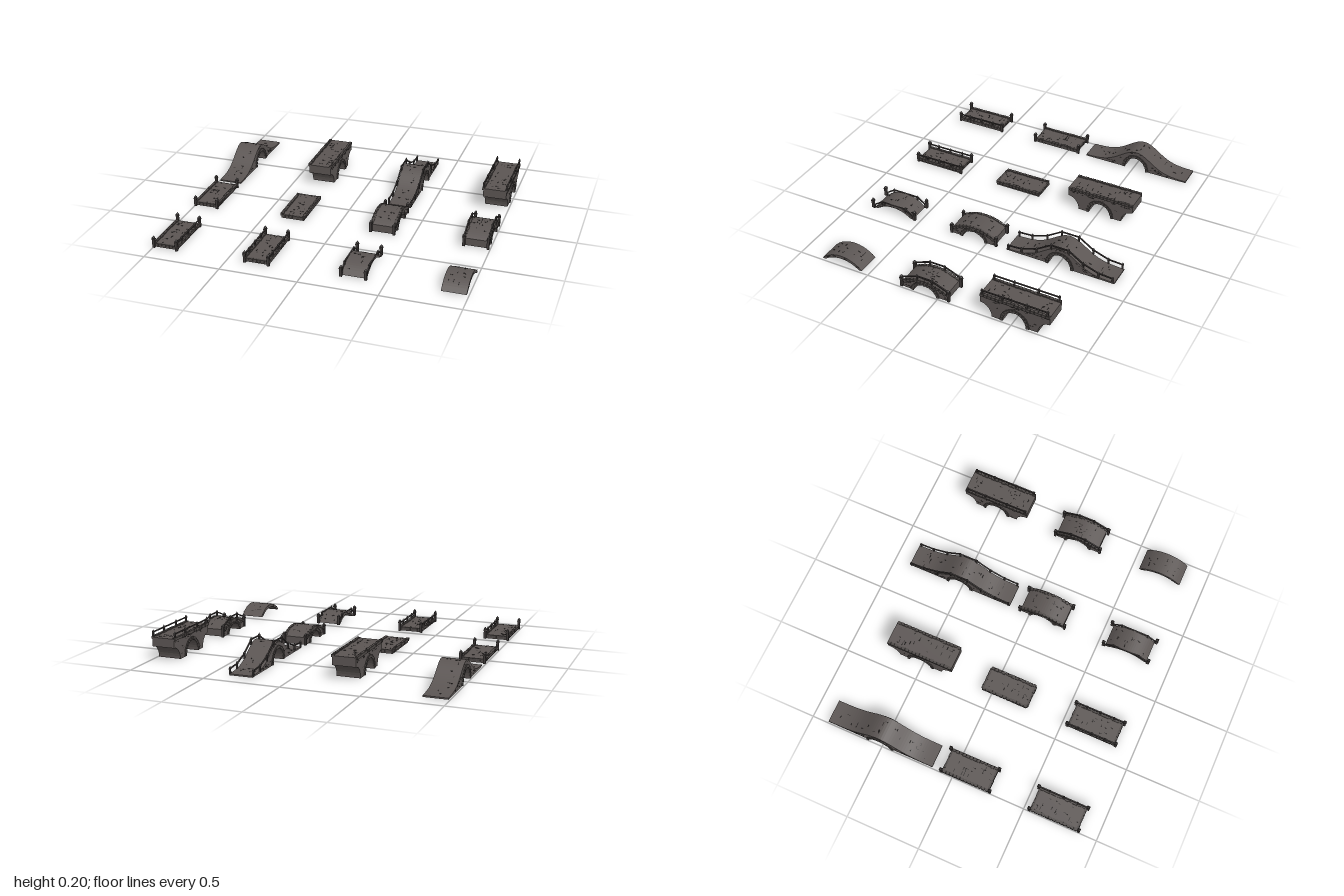
import * as THREE from 'three';

const mat = (name, color) => Object.assign(new THREE.MeshStandardMaterial({ color }), { name });

export function createModel() {
  const stone = mat('stone', 0x5b5553);
  const trim = mat('trim stone', 0x4d4846);
  const railMat = mat('rail stone', 0x403b3a);
  const joint = mat('dark joint', 0x292625);
  const model = new THREE.Group();
  model.name = 'bridgeSet';

  let seed = 7;
  const rnd = (a, b) => {
    seed = (seed * 16807) % 2147483647;
    return a + (b - a) * seed / 2147483647;
  };

  const add = (g, name, geo, material, x = 0, y = 0, z = 0, tilt = 0) => {
    const m = new THREE.Mesh(geo, material);
    m.name = name;
    m.position.set(x, y, z);
    m.rotation.x = tilt;
    g.add(m);
    return m;
  };
  const box = (g, name, material, w, h, d, x, y, z, tilt) =>
    add(g, name, new THREE.BoxGeometry(w, h, d), material, x, y, z, tilt);

  // Side profile (z, y) pulled across the width
  const HALF = 0.077;
  const body = (g, pts) => {
    const shape = new THREE.Shape(pts.map(p => new THREE.Vector2(p[0], p[1])));
    const geo = new THREE.ExtrudeGeometry(shape, { depth: HALF * 2, bevelEnabled: false });
    geo.rotateY(-Math.PI / 2).translate(HALF, 0, 0);
    add(g, 'bridgeBody', geo, stone);
  };
  const sample = (a, b, n, f) =>
    Array.from({ length: n + 1 }, (_, i) => { const s = a + (b - a) * i / n; return [s, f(s)]; });
  const ellipse = (c, rx, ry, a0, a1, n = 16) =>
    Array.from({ length: n + 1 }, (_, i) => {
      const a = a0 + (a1 - a0) * i / n;
      return [c + Math.cos(a) * rx, Math.max(0, Math.sin(a) * ry)];
    });
  const slope = (h, s) => -Math.atan((h(s + 0.004) - h(s - 0.004)) / 0.008);

  // Row of uneven edge stones that follows the deck
  const curbs = (g, L, h, lift = 0.004) => {
    const n = Math.round(L * 2 / 0.025);
    for (const side of [-1, 1]) for (let i = 0; i < n; i++) {
      const s = -L + (i + 0.5) * 2 * L / n;
      const w = rnd(0.015, 0.021);
      box(g, 'edgeStone', trim, w, rnd(0.016, 0.021), 2 * L / n - 0.003,
        side * (0.085 - w / 2), h(s) - 0.007 + lift, s, slope(h, s));
    }
  };

  // Short dark joints on the paving
  const paving = (g, L, h, n) => {
    for (let i = 0; i < n; i++) {
      const s = rnd(-L * 0.9, L * 0.9), x = rnd(-0.05, 0.05), along = rnd(0, 1) > 0.5;
      const len = rnd(0.012, 0.028);
      box(g, 'pavingJoint', joint, along ? 0.003 : len, 0.002, along ? len * 0.7 : 0.004,
        x, h(s) + 0.0005, s, slope(h, s));
    }
  };

  // Thin joints on the flank between two heights
  const flank = (g, L, low, high, n) => {
    for (let i = 0; i < n; i++) {
      const s = rnd(-L, L), lo = low(s), hi = high(s);
      if (hi - lo < 0.014) continue;
      for (const side of [-1, 1])
        box(g, 'wallJoint', joint, 0.002, 0.003, rnd(0.01, 0.022),
          side * HALF, lo + (hi - lo) * rnd(0.2, 0.85), s);
    }
  };

  // Wedge stones round an arch opening
  const archRing = (g, rx, ry, n) => {
    for (const side of [-1, 1]) for (let i = 0; i < n; i++) {
      const a = Math.PI * (i + 0.5) / n;
      const arc = Math.PI * (rx + ry + 0.018) / 2 / n;
      const z = Math.cos(a) * (rx + 0.009), y = Math.sin(a) * (ry + 0.009);
      const nrm = Math.atan2(Math.sin(a) / ry, Math.cos(a) / rx);
      box(g, 'archStone', trim, 0.01, arc * 0.86, rnd(0.016, 0.022), side * 0.079, y, z, -nrm);
    }
  };

  // Newel post with a pointed cap
  const post = (g, x, y, z, height, w) => {
    box(g, 'post', railMat, w, height, w, x, y + height / 2, z);
    box(g, 'postCollar', railMat, w * 1.3, 0.006, w * 1.3, x, y + height * 0.82, z);
    const cap = new THREE.ConeGeometry(w * 0.72, 0.012, 4);
    cap.rotateY(Math.PI / 4);
    add(g, 'postCap', cap, railMat, x, y + height + 0.005, z);
  };
  const newels = (g, s, height) => {
    for (const x of [-0.077, 0.077]) for (const z of [-s, s]) post(g, x, 0, z, height, 0.016);
  };

  // Small posts joined by straight rails
  const railing = (g, stops, h, height, sides = [-1, 1]) => {
    for (const side of sides) {
      const x = side * 0.077;
      stops.forEach((s, i) => {
        post(g, x, h(s) - 0.005, s, height, 0.01);
        if (!i) return;
        const p = stops[i - 1], dz = s - p, dy = h(s) - h(p);
        box(g, 'rail', railMat, 0.008, 0.007, Math.hypot(dz, dy) + 0.004,
          x, (h(s) + h(p)) / 2 + height * 0.72, (s + p) / 2, -Math.atan2(dy, dz));
      });
    }
  };

  const piece = (name, x, z, build) => {
    const g = new THREE.Group();
    g.name = name;
    g.position.set(x, 0, z);
    build(g);
    model.add(g);
  };
  const X = [-0.915, -0.307, 0.303, 0.91];
  const zero = () => 0;

  // Flat slabs
  const flatH = () => 0.026;
  const slab = g => {
    body(g, [[-0.16, 0], [0.16, 0], [0.16, 0.026], [-0.16, 0.026]]);
    curbs(g, 0.16, flatH);
    paving(g, 0.16, flatH, 16);
    flank(g, 0.15, zero, flatH, 8);
    for (const z of [-0.158, 0.158]) for (let i = 0; i < 6; i++)
      box(g, 'endStone', trim, 0.022, 0.018, rnd(0.012, 0.018), -0.0625 + i * 0.025, 0.0175, z);
  };
  const flatStops = [-0.165, -0.095, 0, 0.095, 0.165];
  piece('plainSlab', X[1], 0.09, slab);
  piece('slabWithPosts', X[0], 0.09, g => { slab(g); newels(g, 0.17, 0.065); });
  piece('slabWithOneRail', X[0], 0.705, g => {
    slab(g); newels(g, 0.17, 0.07); railing(g, flatStops, flatH, 0.038, [1]);
  });
  piece('slabWithRails', X[1], 0.705, g => {
    slab(g); newels(g, 0.17, 0.07); railing(g, flatStops, flatH, 0.038);
  });

  // Thin arched decks
  const arcR = 0.199;
  const arcH = s => Math.max(0.002, Math.sqrt(arcR * arcR - s * s) - arcR + 0.065);
  const thinArch = g => {
    body(g, [...sample(0.147, -0.147, 20, arcH),
      ...sample(-0.14, 0.14, 20, s => Math.max(0, arcH(s) - 0.021))]);
    paving(g, 0.14, arcH, 14);
    flank(g, 0.12, s => arcH(s) - 0.02, arcH, 10);
  };
  piece('plainArchDeck', X[3], 0.697, thinArch);
  piece('archDeckWithPosts', X[2], 0.697, g => {
    thinArch(g); newels(g, 0.16, 0.065);
    railing(g, [-0.15, -0.09, 0.09, 0.15], arcH, 0.028);
  });

  // Solid arched bridges
  const humpH = s => 0.093 - 1.9 * s * s;
  const humpBridge = g => {
    body(g, [...sample(0.153, -0.153, 20, humpH), [-0.153, 0],
      ...ellipse(0, 0.08, 0.06, Math.PI, 0), [0.153, 0]]);
    archRing(g, 0.08, 0.06, 13);
    curbs(g, 0.15, humpH, 0);
    paving(g, 0.14, humpH, 14);
    flank(g, 0.145, s => Math.abs(s) > 0.105 ? 0 : 0.085, humpH, 26);
  };
  piece('humpBridge', X[2], 0.093, g => { humpBridge(g); newels(g, 0.162, 0.07); });
  piece('humpBridgeWithRails', X[3], 0.093, g => {
    humpBridge(g); newels(g, 0.165, 0.078);
    railing(g, [-0.158, -0.052, 0.052, 0.158], humpH, 0.038);
  });

  // High level spans with a full arch and two half arches
  const highH = () => 0.147;
  const span = g => {
    body(g, [[0.23, 0.147], [-0.23, 0.147], [-0.23, 0.088],
      ...ellipse(-0.23, 0.078, 0.088, Math.PI / 2, 0, 8),
      ...ellipse(0, 0.078, 0.09, Math.PI, 0),
      ...ellipse(0.23, 0.078, 0.088, Math.PI, Math.PI / 2, 8)]);
    archRing(g, 0.078, 0.09, 13);
    curbs(g, 0.229, highH);
    paving(g, 0.22, highH, 22);
    flank(g, 0.21, () => 0.108, () => 0.135, 22);
    flank(g, 0.14, s => Math.abs(s) > 0.1 ? 0 : 0.13, () => 0.1, 16);
  };
  piece('highSpan', X[1], -0.517, span);
  piece('highSpanWithRails', X[3], -0.517, g => {
    span(g); railing(g, [-0.215, -0.08, 0.08, 0.215], highH, 0.042);
  });

  // Long ramps swelling over a central arch
  const rampH = s => 0.009 + 0.127 * Math.exp(-((s / 0.155) ** 2));
  const ramp = g => {
    body(g, [...sample(0.373, -0.373, 48, rampH), [-0.373, 0],
      ...ellipse(0, 0.078, 0.09, Math.PI, 0), [0.373, 0]]);
    archRing(g, 0.078, 0.09, 13);
    paving(g, 0.36, rampH, 26);
    flank(g, 0.25, s => Math.abs(s) > 0.105 ? 0 : 0.115, rampH, 40);
  };
  piece('longRamp', X[0], -0.517, ramp);
  piece('longRampWithRails', X[2], -0.517, g => {
    ramp(g); railing(g, [-0.36, -0.265, -0.16, -0.06, 0.06, 0.16, 0.265, 0.36], rampH, 0.04);
  });

  return model;
}
